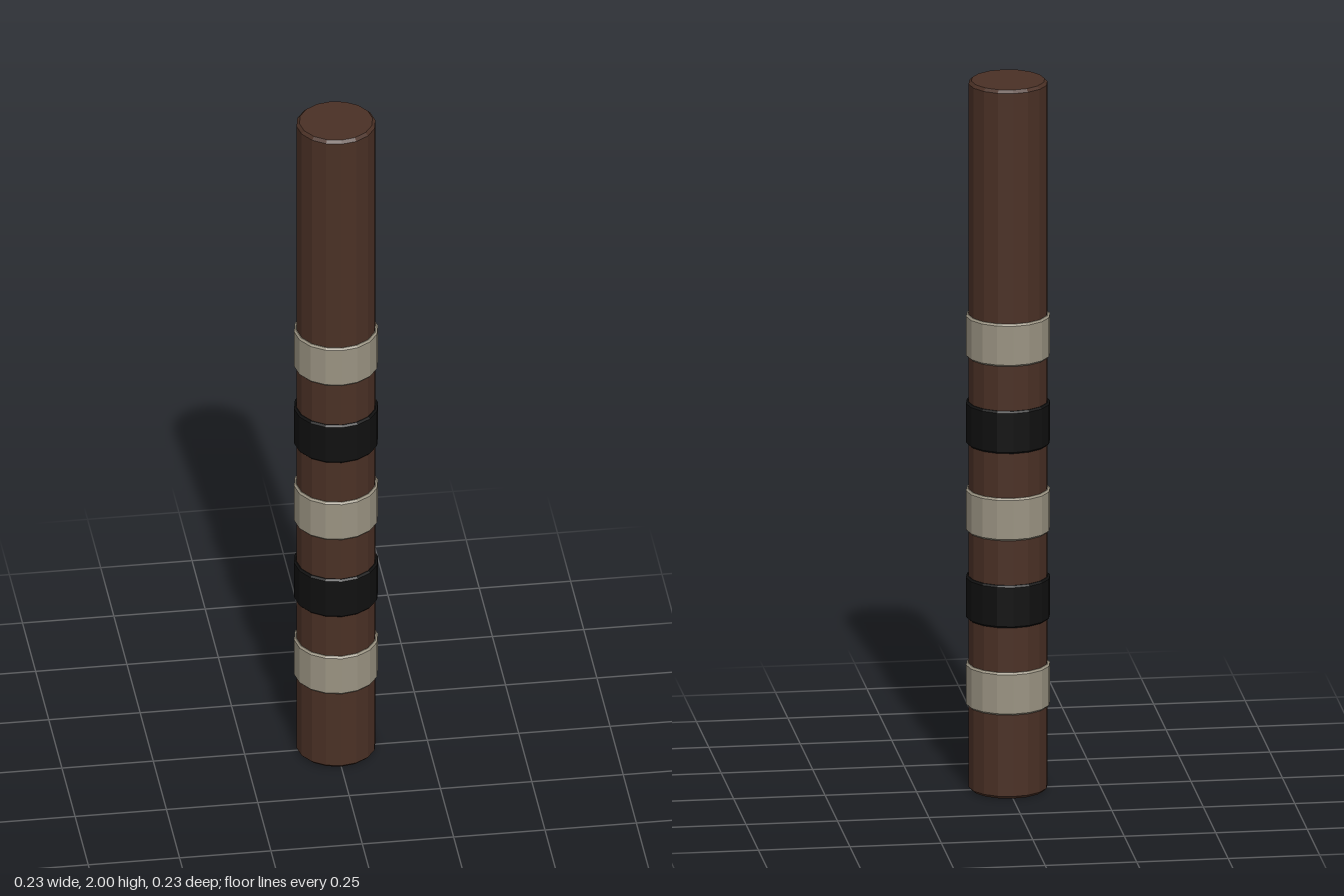
import * as THREE from 'three';

const SIDES = 16;

function flatMaterial(name, color) {
  const material = new THREE.MeshStandardMaterial({ color, flatShading: true });
  material.name = name;
  return material;
}

// Faceted solid turned around y from [radius, height] pairs, bottom to top
function turned(name, profile, material) {
  const points = profile.map(([r, y]) => new THREE.Vector2(r, y));
  const mesh = new THREE.Mesh(new THREE.LatheGeometry(points, SIDES), material);
  mesh.name = name;
  return mesh;
}

export function createModel() {
  const group = new THREE.Group();
  group.name = 'bandedRod';

  const brown = flatMaterial('dark brown', 0x4a3025);
  const grey = flatMaterial('warm grey', 0x9a9382);
  const black = flatMaterial('black', 0x101010);

  // Rod with narrow bevels at both ends
  const r = 0.108, bevel = 0.008;
  group.add(turned('rod', [
    [0, 0], [r - bevel, 0], [r, bevel],
    [r, 2 - bevel], [r - bevel, 2], [0, 2],
  ], brown));

  // Raised bands, alternating grey and black, with softened rims
  const outer = 0.115, half = 0.06, rim = 0.005;
  for (let i = 0; i < 5; i++) {
    const band = turned('band' + (i + 1), [
      [r - 0.004, -half], [outer - rim, -half], [outer, -half + rim],
      [outer, half - rim], [outer - rim, half], [r - 0.004, half],
    ], i % 2 ? black : grey);
    band.position.y = 0.298 + i * 0.246;
    group.add(band);
  }
  return group;
}
